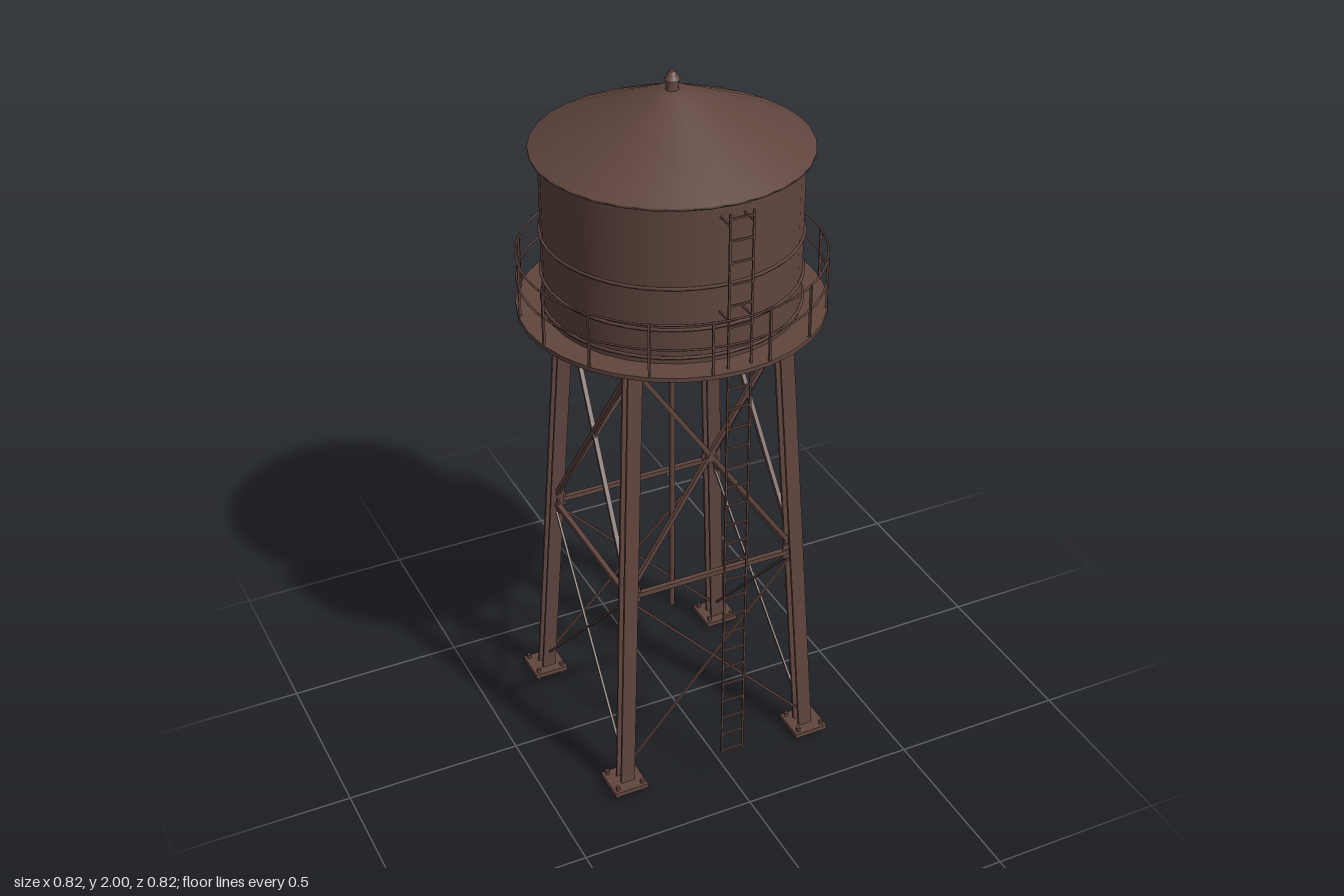
import * as THREE from 'three';

const rust = new THREE.MeshStandardMaterial({ color: 0x60453e, side: THREE.DoubleSide });
rust.name = 'rustyBrown';

export function createModel() {
  const model = new THREE.Group();
  model.name = 'waterTower';
  const V = (x, y, z) => new THREE.Vector3(x, y, z);

  function add(name, geometry, x = 0, y = 0, z = 0, parent = model) {
    const mesh = new THREE.Mesh(geometry, rust);
    mesh.name = name;
    mesh.position.set(x, y, z);
    parent.add(mesh);
    return mesh;
  }
  // Flat or square bar between two points
  function bar(name, a, b, w, h = w, parent = model) {
    const mesh = add(name, new THREE.BoxGeometry(w, h, a.distanceTo(b)), 0, 0, 0, parent);
    mesh.position.copy(a).add(b).multiplyScalar(0.5);
    if (Math.abs(b.y - a.y) > 0.9 * a.distanceTo(b)) mesh.up.set(0, 0, 1);
    mesh.lookAt(b);
    return mesh;
  }
  // Horizontal ring with a round section
  function ring(name, radius, tube, y) {
    add(name, new THREE.TorusGeometry(radius, tube, 5, 48), 0, y, 0).rotation.x = Math.PI / 2;
  }
  function group(name) {
    const g = new THREE.Group();
    g.name = name;
    model.add(g);
    return g;
  }

  // Tank with hoops
  add('tank', new THREE.CylinderGeometry(0.34, 0.34, 0.45, 32), 0, 1.58, 0);
  for (const y of [1.38, 1.46, 1.575]) ring('tankHoop', 0.341, 0.005, y);

  // Conical roof, thin eave and finial
  const roof = [[0.34, 1.798], [0.365, 1.798], [0.365, 1.806], [0.05, 1.948], [0, 1.953]];
  const roofGeometry = new THREE.LatheGeometry(roof.map(p => new THREE.Vector2(...p)), 32);
  add('roof', roofGeometry);
  add('finialStem', new THREE.CylinderGeometry(0.014, 0.018, 0.05, 10), 0, 1.965, 0);
  add('finialCap', new THREE.CylinderGeometry(0.008, 0.021, 0.022, 10), 0, 1.989, 0);

  // Walkway with railing
  add('walkway', new THREE.CylinderGeometry(0.41, 0.41, 0.012, 32), 0, 1.356, 0);
  for (const y of [1.44, 1.51]) ring('handrail', 0.405, 0.003, y);
  for (let i = 0; i < 16; i++) {
    const t = (i + 0.5) / 16 * Math.PI * 2;
    add('railPost', new THREE.BoxGeometry(0.006, 0.155, 0.006),
      0.405 * Math.sin(t), 1.435, 0.405 * Math.cos(t)).rotation.y = t;
  }

  // Half width of the tapering tower at a height
  const TOP = 1.345, MID = 0.63, BASE = 0.025;
  const reach = y => 0.283 + (0.214 - 0.283) * (y - BASE) / (TOP - BASE);
  const corner = (sx, sz, y) => V(sx * reach(y), y, sz * reach(y));

  // H-section legs on bolted foot plates
  const hSection = new THREE.Shape([
    [-0.02, -0.02], [0.02, -0.02], [0.02, -0.012], [0.005, -0.012], [0.005, 0.012], [0.02, 0.012],
    [0.02, 0.02], [-0.02, 0.02], [-0.02, 0.012], [-0.005, 0.012], [-0.005, -0.012], [-0.02, -0.012],
  ].map(p => new THREE.Vector2(...p)));
  for (const sx of [-1, 1]) for (const sz of [-1, 1]) {
    const a = corner(sx, sz, BASE), b = corner(sx, sz, TOP);
    const leg = add('leg', new THREE.ExtrudeGeometry(hSection, { depth: a.distanceTo(b), bevelEnabled: false }));
    leg.up.set(0, 0, 1);
    leg.position.copy(a);
    leg.lookAt(b);
    add('footPlate', new THREE.BoxGeometry(0.1, 0.014, 0.1), sx * 0.286, 0.02, sz * 0.286);
    for (const bx of [-1, 1]) for (const bz of [-1, 1])
      add('anchorBolt', new THREE.CylinderGeometry(0.006, 0.006, 0.04, 6),
        sx * 0.286 + bx * 0.037, 0.02, sz * 0.286 + bz * 0.037);
  }

  // Bracing on the four sides
  for (let i = 0; i < 4; i++) {
    const side = group('sideBracing');
    const at = (s, y) => V(s * reach(y), y, reach(y));
    bar('topBeam', at(-1, 1.337), at(1, 1.337), 0.016, 0.022, side);
    bar('middleStrut', at(-1, MID), at(1, MID), 0.014, 0.014, side);
    for (const s of [-1, 1]) {
      bar('upperBrace', at(-s, 1.32), at(s, MID + 0.01), 0.012, 0.012, side);
      bar('lowerBrace', at(-s, MID - 0.01), at(s, 0.06), 0.006, 0.006, side);
      add('gusset', new THREE.BoxGeometry(0.045, 0.045, 0.006), s * (reach(MID) - 0.012), MID, reach(MID), side);
    }
    add('crossingPlate', new THREE.BoxGeometry(0.03, 0.03, 0.006), 0, 0.995, reach(0.995), side);
    side.rotation.y = i * Math.PI / 2;
  }

  // Beams under the floor and the central pipe
  for (const s of [-1, 1]) bar('floorBeam', corner(-1, -s, 1.337), corner(1, s, 1.337), 0.014, 0.02);
  add('riserPipe', new THREE.CylinderGeometry(0.008, 0.008, 1.0, 10), 0, 0.85, 0);

  // Front ladder
  const ladder = group('ladder');
  for (const s of [-1, 1]) bar('ladderRail', V(s * 0.032, 0.1, 0.386), V(s * 0.032, 1.79, 0.386), 0.005, 0.005, ladder);
  for (let i = 0; i < 29; i++)
    add('rung', new THREE.BoxGeometry(0.064, 0.005, 0.005), 0, 0.11 + i * 0.0595, 0.386, ladder);
  for (const y of [1.5, 1.76]) for (const s of [-1, 1])
    bar('ladderBracket', V(s * 0.032, y, 0.335), V(s * 0.032, y, 0.386), 0.005, 0.005, ladder);

  return model;
}
